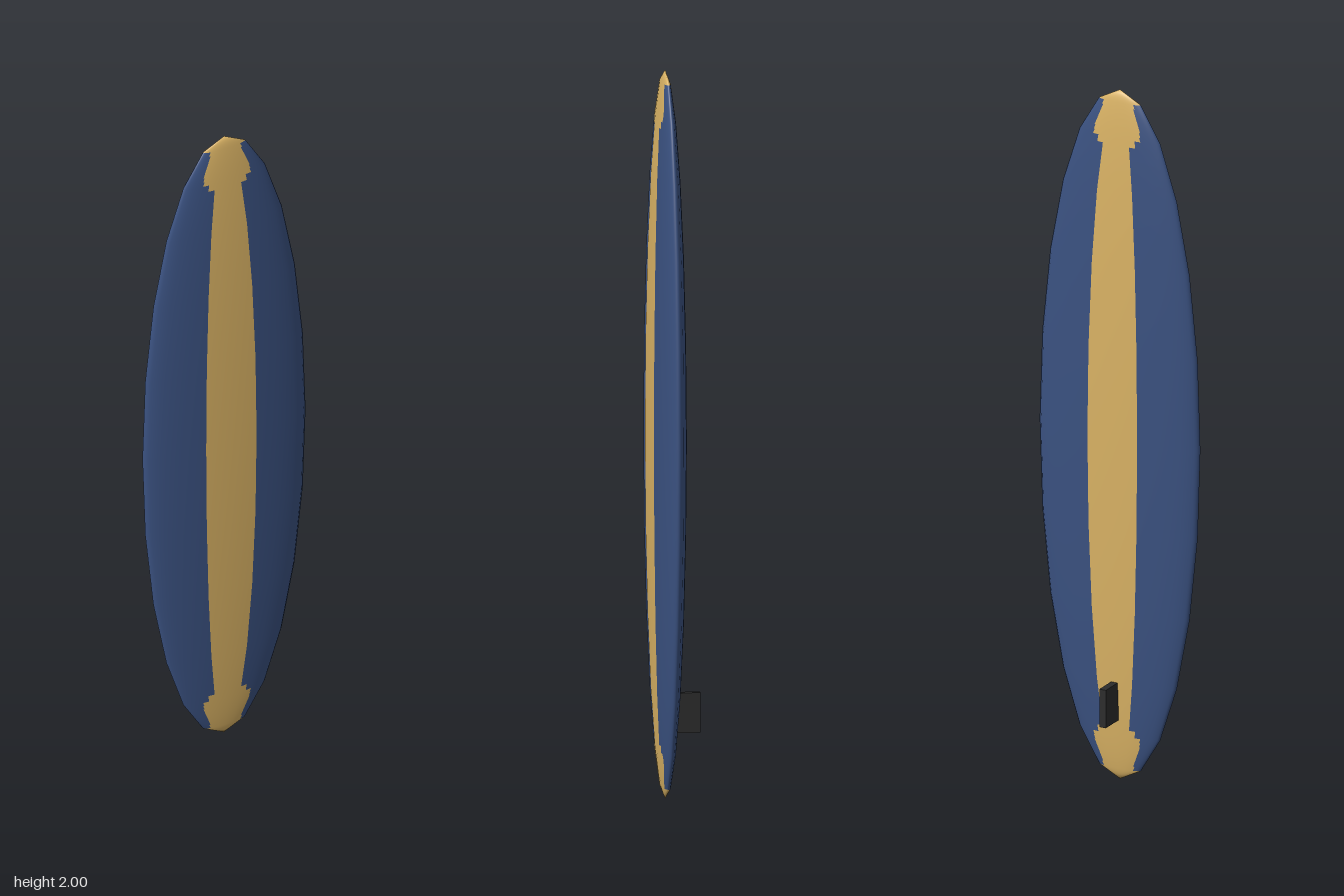
import * as THREE from 'three';

const blue = new THREE.MeshStandardMaterial({ color: 0x3a5180 });
blue.name = 'board blue';
const gold = new THREE.MeshStandardMaterial({ color: 0xd9b264 });
gold.name = 'stripe gold';
const black = new THREE.MeshStandardMaterial({ color: 0x2c2c2c });
black.name = 'fin black';

// Half sizes and centre of the thin ellipsoid board
const A = 0.25, B = 1, C = 0.045, CY = 1, CZ = 0.025;
const ROWS = 12, COLS = 20, SUB = 8;

function ringPoint(row, col) {
  const t = (row / ROWS) * Math.PI, p = (col / COLS) * Math.PI * 2;
  return new THREE.Vector3(A * Math.sin(t) * Math.cos(p), B * Math.cos(t), C * Math.sin(t) * Math.sin(p));
}

// Half width of the flared stripe near each tip, by distance from the tip
const flare = [[0.034, 0.047], [0.05, 0.047], [0.1, 0.069], [0.13, 0.071], [0.165, 0.04]];

function isGold(col, c) {
  const d = B - Math.abs(c.y);
  if (d < 0.034) return true;
  if (d < 0.165) {
    const i = flare.findIndex(f => d < f[0]);
    const [d0, w0] = flare[i - 1], [d1, w1] = flare[i];
    return Math.abs(c.x) < w0 + ((w1 - w0) * (d - d0)) / (d1 - d0);
  }
  // The long stripe follows the two centre columns on each side
  return Math.abs((col % (COLS / 2)) + 0.5 - COLS / 4) < 1;
}

// Each facet is divided finely so the stripe edge can cross it
function buildSkin() {
  const parts = { gold: [], blue: [] };
  for (let r = 0; r < ROWS; r++) for (let k = 0; k < COLS; k++) {
    const p00 = ringPoint(r, k), p01 = ringPoint(r, k + 1);
    const p10 = ringPoint(r + 1, k), p11 = ringPoint(r + 1, k + 1);
    const at = (u, v) => p00.clone().lerp(p01, u).lerp(p10.clone().lerp(p11, u), v);
    for (let i = 0; i < SUB; i++) for (let j = 0; j < SUB; j++) {
      const a = at(i / SUB, j / SUB), b = at((i + 1) / SUB, j / SUB);
      const c = at((i + 1) / SUB, (j + 1) / SUB), d = at(i / SUB, (j + 1) / SUB);
      const mid = at((i + 0.5) / SUB, (j + 0.5) / SUB);
      parts[isGold(k, mid) ? 'gold' : 'blue'].push(a, b, c, a, c, d);
    }
  }
  return parts;
}

function skinMesh(points, material, name) {
  const geo = new THREE.BufferGeometry().setFromPoints(points);
  // Smooth ellipsoid normals
  const normals = points.flatMap(p =>
    new THREE.Vector3(p.x / (A * A), p.y / (B * B), p.z / (C * C)).normalize().toArray());
  geo.setAttribute('normal', new THREE.Float32BufferAttribute(normals, 3));
  const mesh = new THREE.Mesh(geo, material);
  mesh.position.set(0, CY, CZ);
  mesh.name = name;
  return mesh;
}

export function createModel() {
  const model = new THREE.Group();
  model.name = 'surfboard';

  const skin = buildSkin();
  model.add(skinMesh(skin.blue, blue, 'boardSides'));
  model.add(skinMesh(skin.gold, gold, 'centreStripe'));

  // Fin on the back near the tail
  const fin = new THREE.Mesh(new THREE.BoxGeometry(0.02, 0.11, 0.08), black);
  fin.position.set(0, 0.235, -0.031);
  fin.name = 'fin';
  model.add(fin);

  return model;
}
